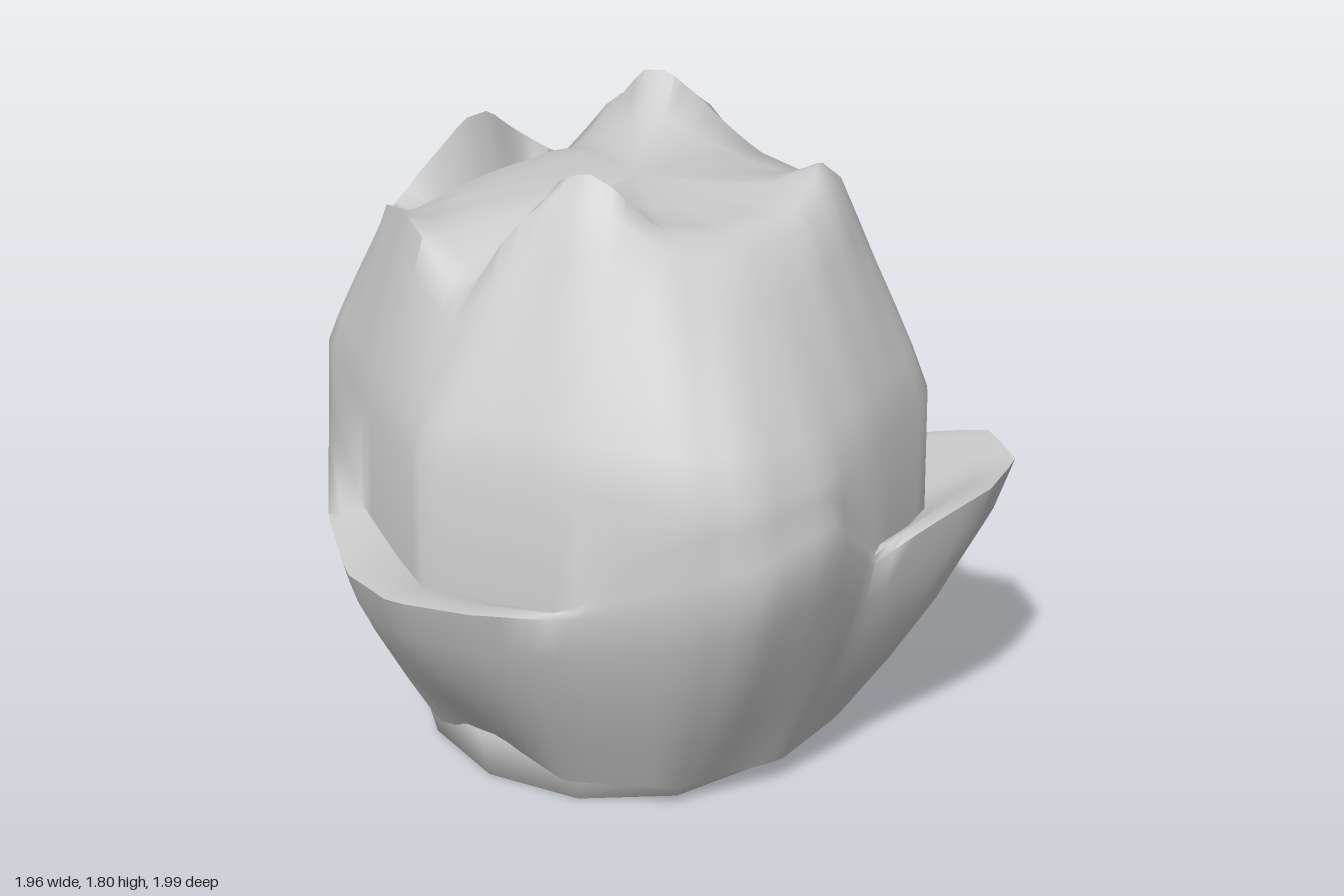
import * as THREE from 'three';
import { toCreasedNormals } from 'three/addons/utils/BufferGeometryUtils.js';

const SEG = 96;
const lerp = THREE.MathUtils.lerp;

// Turns a closed outline [x, z, ...extras] into a lookup: angle -> [radius, ...extras],
// with straight edges between the points
function outline(points) {
  const keys = points.map(([x, z, ...v]) => {
    const a = Math.atan2(x, z);
    return { a: a < 0 ? a + Math.PI * 2 : a, r: Math.hypot(x, z), v };
  }).sort((p, q) => p.a - q.a);
  const first = keys[0], last = keys[keys.length - 1];
  keys.unshift({ ...last, a: last.a - Math.PI * 2 });
  keys.push({ ...first, a: first.a + Math.PI * 2 });
  return (a) => {
    let i = 0;
    while (i < keys.length - 2 && keys[i + 1].a < a) i++;
    const p = keys[i], q = keys[i + 1];
    const t = (a - p.a) / (q.a - p.a);
    const r = (p.r * q.r * Math.sin(q.a - p.a)) / (p.r * Math.sin(a - p.a) + q.r * Math.sin(q.a - a));
    return [r, ...p.v.map((v, k) => lerp(v, q.v[k], t))];
  };
}

// Sweeps a profile (angle -> list of [radius, height]) around the y axis
function polarSurface(name, profile, material, crease) {
  const position = [], index = [];
  let rows = 0;
  for (let j = 0; j <= SEG; j++) {
    const a = ((j % SEG) / SEG) * Math.PI * 2;
    const ring = profile(a);
    rows = ring.length;
    for (const [r, y] of ring) position.push(r * Math.sin(a), y, r * Math.cos(a));
  }
  for (let j = 0; j < SEG; j++) {
    for (let i = 0; i < rows - 1; i++) {
      const p = j * rows + i, q = p + rows;
      index.push(p, q, q + 1, p, q + 1, p + 1);
    }
  }
  const geometry = new THREE.BufferGeometry();
  geometry.setAttribute('position', new THREE.Float32BufferAttribute(position, 3));
  geometry.setIndex(index);
  const mesh = new THREE.Mesh(toCreasedNormals(geometry, crease), material);
  mesh.name = name;
  return mesh;
}

export function createModel() {
  const group = new THREE.Group();
  group.name = 'lotusBud';
  const material = new THREE.MeshStandardMaterial({ color: 0xcccccc, side: THREE.DoubleSide });

  // Lower hem of the outer petals [x, z, y]
  const hem = outline([
    [0, 0.6, 0.15], [0.23, 0.57, 0.08], [0.47, 0.42, 0.08], [0.62, 0.1, 0.08],
    [0.6, -0.2, 0.08], [0.38, -0.48, 0.08], [0, -0.56, 0.08], [-0.4, -0.5, 0.08],
    [-0.66, -0.22, 0.08], [-0.69, 0.1, 0.08], [-0.52, 0.42, 0.08], [-0.25, 0.57, 0.08],
  ]);

  // Edge of the outer petals [x, z, y, height where the petal meets the bud]
  const petals = outline([
    [0.02, 1, 0.75, 0.73], [0.25, 0.94, 0.77, 0.73], [0.41, 0.76, 0.73, 0.75],
    [0.68, 0.62, 0.8, 0.98], [0.84, 0.47, 0.86, 1.02], [0.89, 0.25, 0.92, 1.04],
    [0.84, 0, 0.74, 0.78], [0.98, -0.32, 0.88, 0.73], [0.93, -0.53, 0.88, 0.73],
    [0.76, -0.66, 0.87, 0.73], [0.4, -0.67, 0.73, 0.74], [0.08, -0.92, 0.78, 0.73],
    [-0.13, -1, 0.77, 0.73], [-0.33, -0.92, 0.79, 0.73], [-0.43, -0.65, 0.73, 0.75],
    [-0.8, -0.39, 0.72, 0.9], [-0.94, -0.23, 0.65, 0.98], [-0.99, -0.04, 0.62, 1],
    [-0.94, 0.23, 0.65, 0.98], [-0.8, 0.44, 0.72, 0.9], [-0.47, 0.75, 0.73, 0.76],
    [-0.2, 0.94, 0.73, 0.73],
  ]);

  // Widest outline of the bud [x, z]
  const belly = outline([
    [0, 0.86], [0.41, 0.75], [0.68, 0.61], [0.81, 0.47], [0.86, 0.25], [0.83, 0],
    [0.74, -0.39], [0.4, -0.66], [-0.02, -0.81], [-0.43, -0.64], [-0.79, -0.39],
    [-0.8, 0], [-0.79, 0.44], [-0.42, 0.67],
  ]);

  // Crown edge with its five petal tips [x, z, y, height just behind the edge]
  const crown = outline([
    [-0.03, 0.64, 1.47, 1.5], [0.05, 0.55, 1.65, 1.65], [0.13, 0.47, 1.74, 1.77],
    [0.21, 0.45, 1.75, 1.8], [0.29, 0.43, 1.72, 1.77], [0.42, 0.38, 1.63, 1.67],
    [0.54, 0.22, 1.6, 1.64], [0.58, 0, 1.62, 1.66], [0.55, -0.15, 1.66, 1.7],
    [0.5, -0.23, 1.68, 1.72], [0.44, -0.34, 1.64, 1.68], [0.3, -0.52, 1.51, 1.56],
    [0.03, -0.57, 1.49, 1.57], [-0.13, -0.48, 1.69, 1.71], [-0.24, -0.44, 1.75, 1.79],
    [-0.33, -0.42, 1.73, 1.78], [-0.43, -0.39, 1.66, 1.66], [-0.56, -0.32, 1.48, 1.5],
    [-0.61, -0.2, 1.57, 1.5], [-0.59, -0.05, 1.68, 1.52], [-0.59, 0.05, 1.68, 1.52],
    [-0.61, 0.2, 1.57, 1.5], [-0.62, 0.34, 1.47, 1.48], [-0.5, 0.45, 1.56, 1.54],
    [-0.3, 0.57, 1.61, 1.59], [-0.2, 0.61, 1.58, 1.58],
  ]);

  // Petals flare out from the hem, fold back to the bud, which rises to the crown and closes
  group.add(polarSurface('petalsAndBud', (a) => {
    const [rh, yh] = hem(a);
    const [rp, yp, yIn] = petals(a);
    const [rb] = belly(a);
    const [rc, yc, yGap] = crown(a);
    const ring = [[rh, yh]];
    for (const [t, f] of [[0.28, 0.36], [0.55, 0.67], [0.8, 0.89], [1, 1]]) {
      ring.push([lerp(rh, rp, f), lerp(yh, yp, t)]);
    }
    ring.push([lerp(rp, rb, 0.4), lerp(yp, yIn, 0.3) + 0.01], [rb, yIn]);
    for (const s of [0, 0.2, 0.4, 0.6, 0.8, 1]) {
      ring.push([lerp(rb * 0.99, rc, s ** 1.1), lerp(1.08, yc, s)]);
    }
    ring.push([rc * 0.91, yGap], [rc * 0.7, lerp(yGap, 1.62, 0.6)]);
    ring.push([rc * 0.45, lerp(yGap, 1.63, 0.9)], [0, 1.64]);
    return ring;
  }, material, 1.25));

  // Short foot under the petals, with a softly shaded rim
  const foot = new THREE.Mesh(
    toCreasedNormals(new THREE.CylinderGeometry(1.07, 1, 0.15, 12), 2), material);
  foot.name = 'foot';
  foot.scale.set(0.545, 1, 0.52);
  foot.position.set(-0.035, 0.075, 0.07);
  group.add(foot);

  return group;
}
